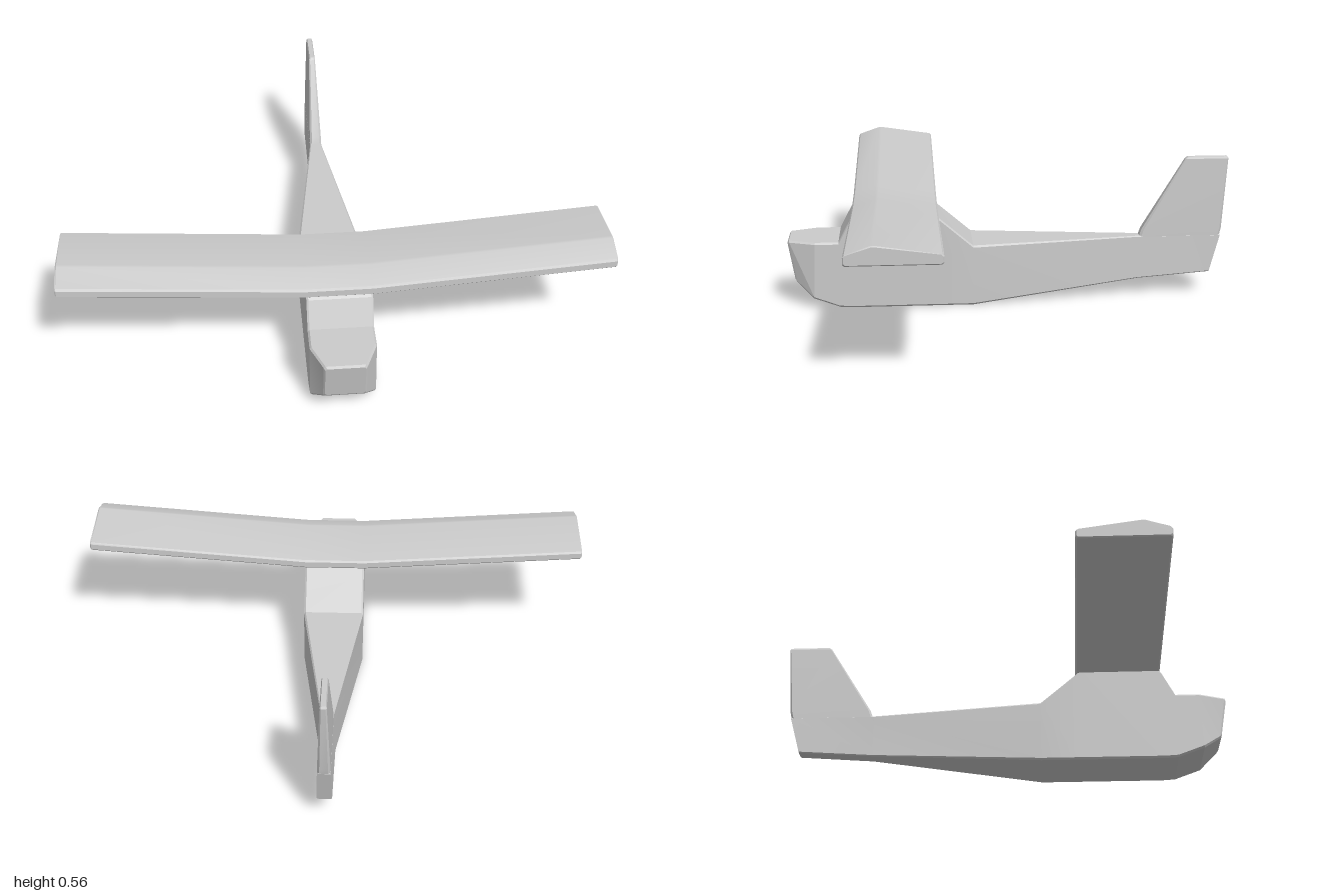
import * as THREE from 'three';
import { toCreasedNormals } from 'three/addons/utils/BufferGeometryUtils.js';

const material = new THREE.MeshStandardMaterial({ color: 0xcccccc });

// Cut every corner of a 2D polygon by distance c.
function chamfer(points, c) {
  const n = points.length;
  return points.flatMap((p, i) => [points[(i + n - 1) % n], points[(i + 1) % n]].map((q) => {
    const t = c / Math.hypot(q[0] - p[0], q[1] - p[1]);
    return [p[0] + (q[0] - p[0]) * t, p[1] + (q[1] - p[1]) * t];
  }));
}

// Skin equal-sized rings, counter-clockwise seen from the end of the loft, with flat caps.
function loft(name, rings, crease) {
  const n = rings[0].length;
  const index = [];
  for (let r = 0; r < rings.length - 1; r++) {
    for (let j = 0; j < n; j++) {
      const k = (j + 1) % n;
      const a = r * n + j, b = r * n + k, c = b + n, d = a + n;
      index.push(a, b, c, a, c, d);
    }
  }
  const last = (rings.length - 1) * n;
  for (let j = 1; j < n - 1; j++) {
    index.push(0, j + 1, j, last, last + j, last + j + 1);
  }
  const geometry = new THREE.BufferGeometry();
  geometry.setAttribute('position', new THREE.Float32BufferAttribute(rings.flat(2), 3));
  geometry.setIndex(index);
  const mesh = new THREE.Mesh(toCreasedNormals(geometry, crease), material);
  mesh.name = name;
  return mesh;
}

// Fuselage frame: a chamfered trapezoid that may lean from bottom to top.
function frame([zBottom, bottom, zTop, top, wBottom, wTop, c]) {
  const corners = [[-wBottom, bottom], [wBottom, bottom], [wTop, top], [-wTop, top]];
  return chamfer(corners, c).map(([x, y]) =>
    [x, y, zBottom + (zTop - zBottom) * (y - bottom) / (top - bottom)]);
}

function createFuselage() {
  const stations = [
    [-0.80, 0.087, -0.842, 0.24, 0.028, 0.024, 0.004],
    [-0.51, 0.066, -0.51, 0.24, 0.03, 0.024, 0.004],
    [0.15, 0, 0.15, 0.24, 0.12, 0.12, 0.007],
    [0.29, 0, 0.29, 0.36, 0.12, 0.12, 0.007],
    [0.31, 0, 0.31, 0.38, 0.12, 0.12, 0.007],
    [0.60, 0, 0.60, 0.38, 0.12, 0.12, 0.007],
    [0.62, 0, 0.62, 0.36, 0.12, 0.12, 0.007],
    [0.67, 0.003, 0.67, 0.264, 0.12, 0.12, 0.007],
    [0.77, 0.04, 0.76, 0.264, 0.12, 0.12, 0.007],
    [0.835, 0.095, 0.862, 0.264, 0.078, 0.078, 0.007],
    [0.842, 0.105, 0.868, 0.256, 0.072, 0.072, 0.007],
  ];
  return loft('fuselage', stations.map(frame), 0.2);
}

// Swept tail fin, thinning toward the tip.
function createFin() {
  const levels = [
    [0.22, -0.835, -0.51, 0.024],
    [0.265, -0.846, -0.525, 0.0235],
    [0.547, -0.867, -0.695, 0.0125],
    [0.555, -0.862, -0.704, 0.009],
  ];
  const rings = levels.map(([y, back, front, w]) =>
    chamfer([[back, -w], [front, -w], [front, w], [back, w]], w * 0.35).map(([z, x]) => [x, y, z]));
  return loft('tailFin', rings, 0.3);
}

// One-piece wing: flat centre, raised tips, slightly eased end edges.
function createWing() {
  const profile = chamfer([
    [0.615, 0], [0.287, 0], [0.287, 0.034], [0.52, 0.069], [0.615, 0.036],
  ], 0.006);
  const tip = 1, ease = 0.005, middle = [0.451, 0.032];
  const xs = [-tip, -tip + ease, -0.12, 0.12, tip - ease, tip];
  const rings = xs.map((x) => {
    const lift = 0.365 + 0.066 * Math.max(0, Math.abs(x) - 0.12) / 0.88;
    const end = Math.abs(x) === tip;
    const sz = end ? 0.975 : 1, sy = end ? 0.88 : 1;
    return profile.map(([z, y]) =>
      [x, lift + middle[1] + (y - middle[1]) * sy, middle[0] + (z - middle[0]) * sz]);
  });
  return loft('wing', rings, 0.52);
}

export function createModel() {
  const model = new THREE.Group();
  model.name = 'glider';
  model.add(createFuselage(), createFin(), createWing());
  return model;
}
